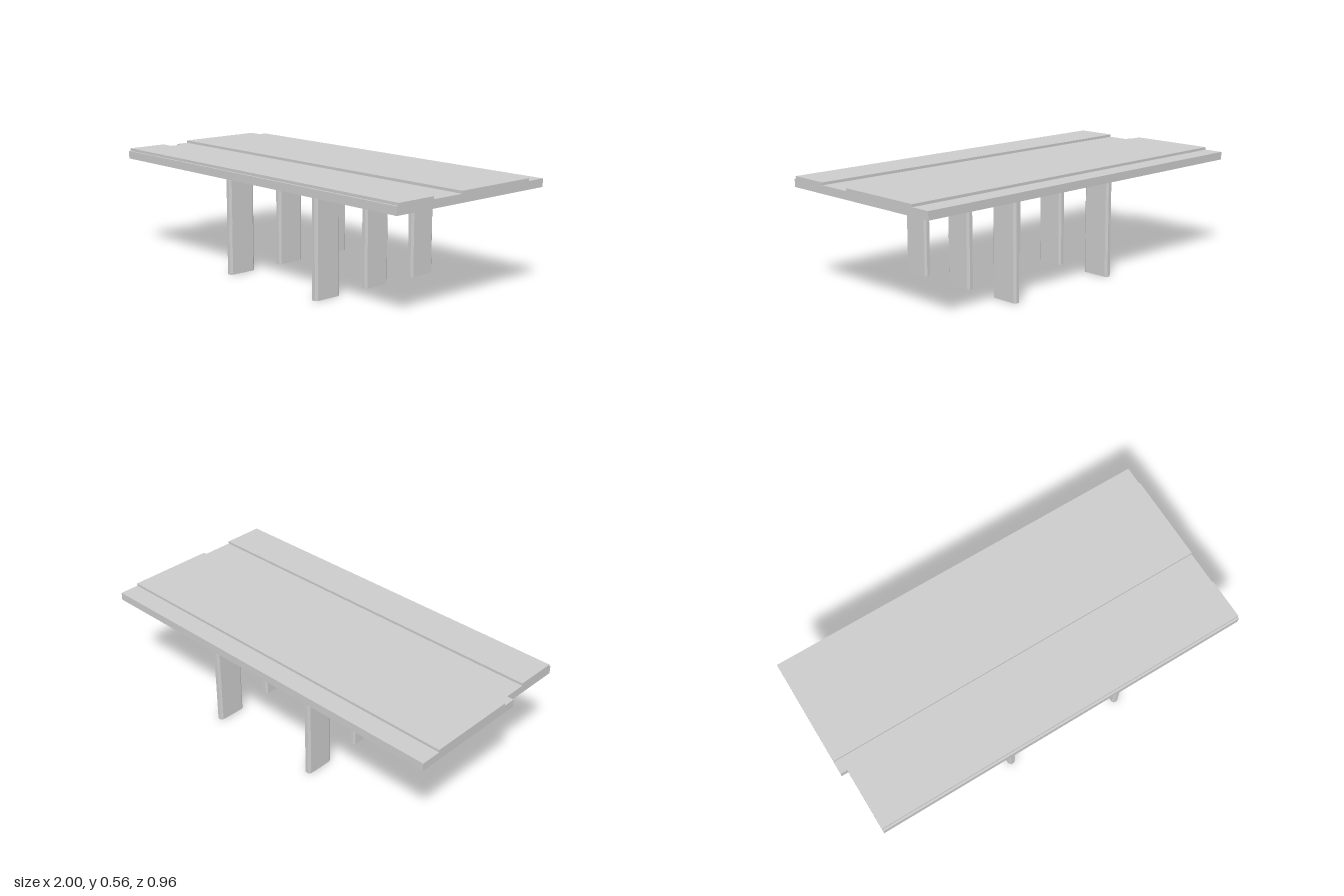
import * as THREE from 'three';

const material = new THREE.MeshStandardMaterial({ color: 0xcccccc, flatShading: true });

// Extrudes a plan outline of [x, z] points upward from y0 to y1.
function prism(name, outline, y0, y1) {
  const shape = new THREE.Shape(outline.map(([x, z]) => new THREE.Vector2(x, -z)));
  const geometry = new THREE.ExtrudeGeometry(shape, { depth: y1 - y0, bevelEnabled: false });
  geometry.rotateX(-Math.PI / 2).translate(0, y0, 0);
  const mesh = new THREE.Mesh(geometry, material);
  mesh.name = name;
  return mesh;
}

const rectangle = (x0, x1, z0, z1) => [[x0, z1], [x1, z1], [x1, z0], [x0, z0]];

export function createModel() {
  const group = new THREE.Group();
  group.name = 'bridgeDeck';

  const bottom = 0.502, slabTop = 0.542, top = 0.555;

  // Slab with a shallow notch at one end
  group.add(prism('deckSlab', [
    [-0.965, 0.479], [1, 0.479], [1, -0.479], [-1, -0.479], [-1, 0.145], [-0.965, 0.145],
  ], bottom, slabTop));

  // Raised strips on the slab
  group.add(prism('wideRaisedStrip', rectangle(-1, 1, -0.377, 0.079), slabTop, top));
  group.add(prism('narrowRaisedStrip', rectangle(-0.965, 1, 0.258, 0.469), slabTop, top));

  // Two rows of three wall piers with chamfered ends
  const hx = 0.018, hz = 0.075, cx = 0.009, cz = 0.011;
  for (const x of [-0.227, 0.4]) {
    for (const z of [-0.31, 0.005, 0.32]) {
      const pier = prism('pier', [
        [-hx + cx, hz], [hx - cx, hz], [hx, hz - cz], [hx, -hz + cz],
        [hx - cx, -hz], [-hx + cx, -hz], [-hx, -hz + cz], [-hx, hz - cz],
      ], 0, bottom);
      pier.position.set(x, 0, z);
      group.add(pier);
    }
  }
  return group;
}
